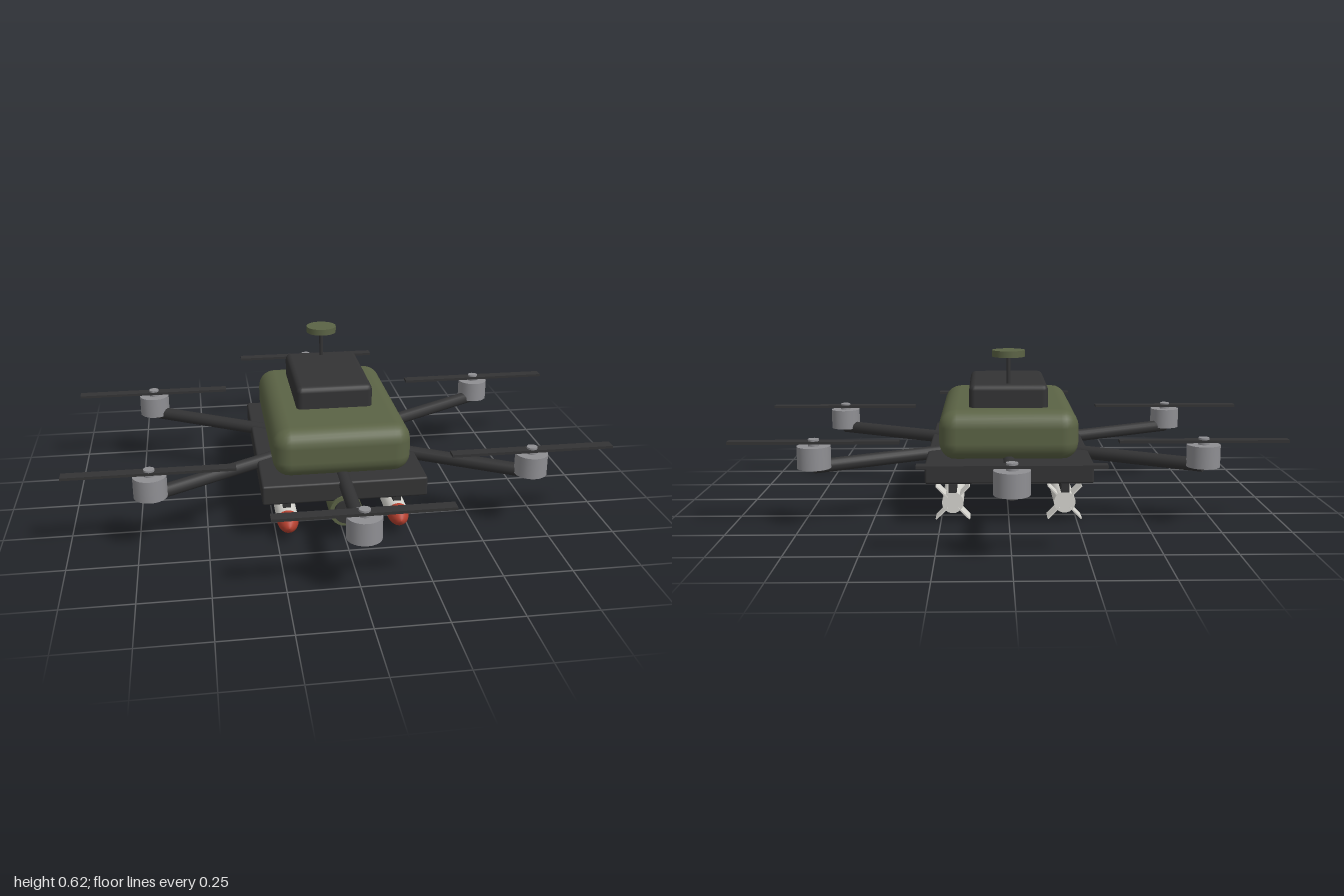
import * as THREE from 'three';
import { RoundedBoxGeometry } from 'three/addons/geometries/RoundedBoxGeometry.js';

const material = (name, color) => {
  const m = new THREE.MeshStandardMaterial({ color });
  m.name = name;
  return m;
};

export function createModel() {
  const dark = material('charcoal', 0x333334);
  const olive = material('olive', 0x5b6345);
  const grey = material('motorGrey', 0x8f8f93);
  const white = material('offWhite', 0xd6d5cf);
  const red = material('noseRed', 0xb5402f);

  const model = new THREE.Group();
  model.name = 'hexacopter';

  const add = (parent, name, geometry, mat, x = 0, y = 0, z = 0) => {
    const mesh = new THREE.Mesh(geometry, mat);
    mesh.name = name;
    mesh.position.set(x, y, z);
    parent.add(mesh);
    return mesh;
  };
  const cylinder = (r, h, sides = 24) => new THREE.CylinderGeometry(r, r, h, sides);
  // Cylinder lying along z
  const rod = (r, length, sides = 24) => cylinder(r, length, sides).rotateX(Math.PI / 2);

  // Fuselage
  add(model, 'basePlate', new RoundedBoxGeometry(0.605, 0.075, 0.842, 2, 0.008), dark, 0, 0.2, 0);
  add(model, 'body', new RoundedBoxGeometry(0.51, 0.186, 0.75, 3, 0.065), olive, 0, 0.324, 0);
  add(model, 'topHousing', new RoundedBoxGeometry(0.29, 0.12, 0.436, 2, 0.022), dark, 0, 0.442, -0.073);

  // Antenna
  add(model, 'antennaMast', cylinder(0.008, 0.12, 12), dark, 0, 0.55, -0.245);
  add(model, 'antennaDisc', cylinder(0.06, 0.024), olive, 0, 0.613, -0.245);

  // Camera under the nose
  add(model, 'cameraHousing', rod(0.06, 0.12), olive, 0, 0.125, 0.37);
  add(model, 'cameraLens', rod(0.045, 0.03), dark, 0, 0.125, 0.425);

  // Six arms with motors and rotors; all blades lie along x
  const reach = 0.803;
  for (let i = 0; i < 6; i++) {
    const angle = Math.PI / 6 + (i * Math.PI) / 3;
    const x = Math.cos(angle) * reach;
    const z = Math.sin(angle) * reach;
    const arm = add(model, 'arm', rod(0.025, reach, 16), dark, x / 2, 0.225, z / 2);
    arm.rotation.y = Math.atan2(x, z);

    const rotor = new THREE.Group();
    rotor.name = 'rotor';
    rotor.position.set(x, 0, z);
    add(rotor, 'motor', cylinder(0.06, 0.08), grey, 0, 0.261, 0);
    add(rotor, 'hub', cylinder(0.02, 0.026, 12), grey, 0, 0.313, 0);
    add(rotor, 'blade', new THREE.BoxGeometry(0.608, 0.01, 0.042), dark, 0, 0.314, 0);
    model.add(rotor);
  }

  // Rails and rockets on both sides
  const noseProfile = [[0.04, 0], [0.038, 0.022], [0.032, 0.043], [0.022, 0.06], [0.011, 0.07], [0, 0.073]]
    .map(([r, y]) => new THREE.Vector2(r, y));
  for (const side of [-1, 1]) {
    const store = new THREE.Group();
    store.name = side > 0 ? 'leftRocket' : 'rightRocket';
    store.position.set(side * 0.207, 0.066, 0);
    add(store, 'rail', new THREE.BoxGeometry(0.03, 0.032, 0.67), dark, 0, 0.058, 0.005);
    add(store, 'rocketBody', rod(0.04, 0.667), white, 0, 0, 0.0235);
    add(store, 'rocketNose', new THREE.LatheGeometry(noseProfile, 24).rotateX(Math.PI / 2), red, 0, 0, 0.355);
    for (let k = 0; k < 4; k++) {
      const fin = new THREE.BoxGeometry(0.06, 0.005, 0.078).translate(0.058, 0, 0);
      add(store, 'fin', fin, white, 0, 0, -0.276).rotation.z = Math.PI / 4 + (k * Math.PI) / 2;
    }
    model.add(store);
  }

  return model;
}
